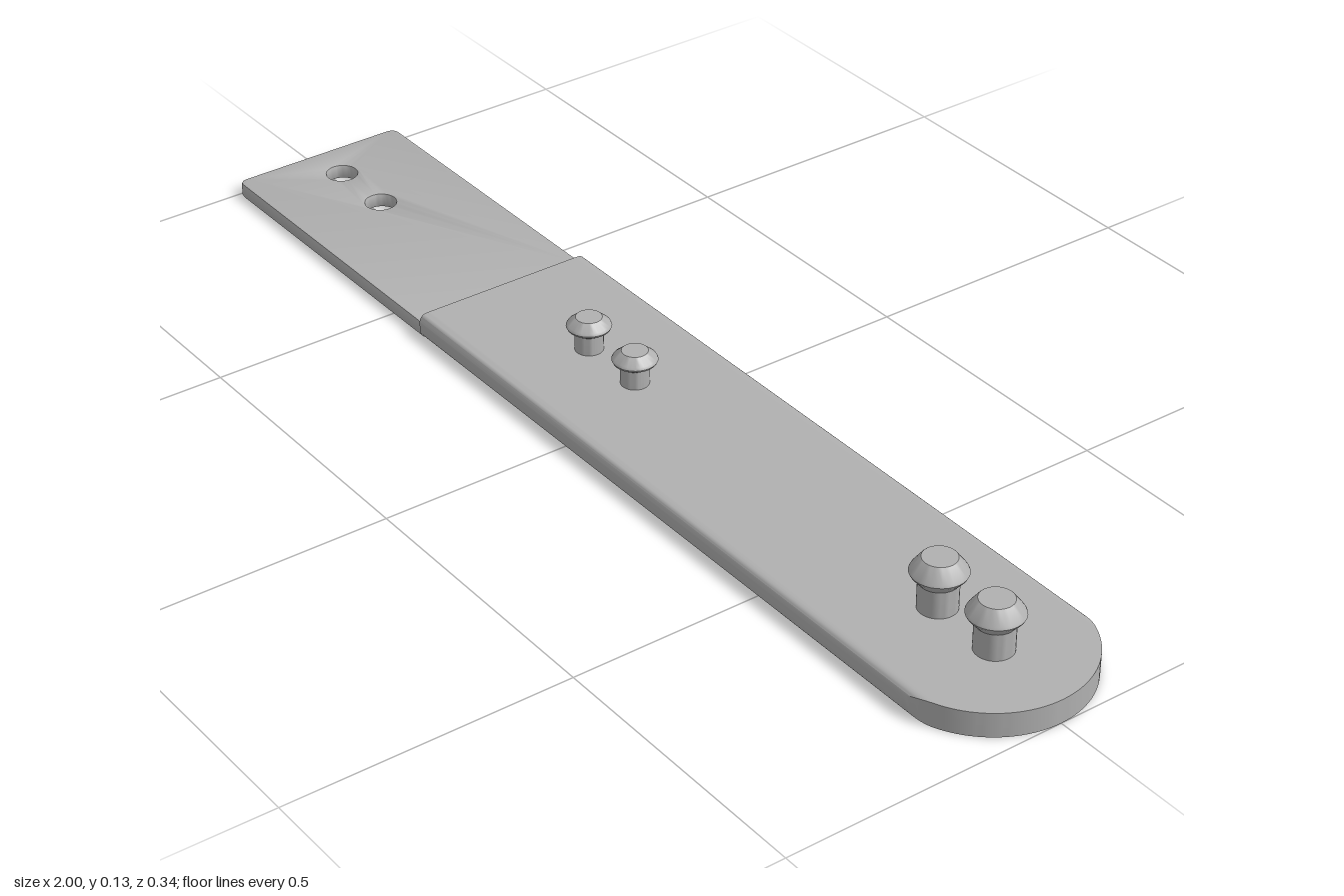
import * as THREE from 'three';
import { toCreasedNormals } from 'three/addons/utils/BufferGeometryUtils.js';

const HALF = 0.168, STEP_X = -0.41, THICK = 0.043, EDGE = 0.014;

// Thick bar: softened long edges, square step at one end, round nose at the other
function barGeometry() {
  const n = 56, pos = [];
  const column = (i) => {
    const z = HALF * Math.sin(-Math.PI / 2 + (Math.PI * i) / n);
    const d = Math.max(0, Math.abs(z) - (HALF - EDGE));
    const inset = EDGE - Math.sqrt(Math.max(0, EDGE * EDGE - d * d));
    const nose = 1 - HALF + Math.sqrt(Math.max(0, HALF * HALF - z * z));
    const lo = inset, hi = THICK - inset;
    return { st: [STEP_X, hi, z], sb: [STEP_X, lo, z], et: [nose, hi, z], eb: [nose, lo, z] };
  };
  const quad = (a, b, c, d) => pos.push(...a, ...b, ...c, ...a, ...c, ...d);
  for (let i = 0; i < n; i++) {
    const a = column(i), b = column(i + 1);
    quad(a.st, b.st, b.et, a.et); // top
    quad(a.sb, a.eb, b.eb, b.sb); // underside
    quad(a.eb, a.et, b.et, b.eb); // nose
    quad(a.sb, b.sb, b.st, a.st); // step face
  }
  const back = column(0), front = column(n);
  quad(back.sb, back.st, back.et, back.eb);
  quad(front.sb, front.eb, front.et, front.st);
  const g = new THREE.BufferGeometry();
  g.setAttribute('position', new THREE.Float32BufferAttribute(pos, 3));
  return toCreasedNormals(g, 0.6);
}

// Thin tongue with two through holes
function tongueGeometry() {
  const w = 0.164, r = 0.018, h = 0.027, b = 0.004, x0 = -1, x1 = STEP_X + 0.005;
  const s = new THREE.Shape();
  s.moveTo(x1, -w);
  s.lineTo(x1, w);
  s.lineTo(x0 + r, w);
  s.quadraticCurveTo(x0, w, x0, w - r);
  s.lineTo(x0, -w + r);
  s.quadraticCurveTo(x0, -w, x0 + r, -w);
  s.closePath();
  for (const x of [-0.917, -0.79]) {
    s.holes.push(new THREE.Path().absarc(x, 0, 0.027, 0, Math.PI * 2, true));
  }
  const g = new THREE.ExtrudeGeometry(s, {
    depth: h - 2 * b, bevelEnabled: true, bevelSize: b, bevelThickness: b,
    bevelOffset: 0 - b, bevelSegments: 2, curveSegments: 16,
  });
  g.translate(0, 0, b);
  g.rotateX(-Math.PI / 2);
  return toCreasedNormals(g, 0.6);
}

// Turned stud: plain post below a double-tapered head
function studGeometry(post, head, crown, neckY, rimY, topY) {
  const rim = 0.004;
  const profile = [
    [post, THICK - 0.005], [post, neckY], [head - 0.002, rimY - rim], [head, rimY],
    [head - 0.002, rimY + rim], [crown + 0.002, topY - 0.002], [crown, topY], [0, topY],
  ].map(([x, y]) => new THREE.Vector2(x, y));
  return toCreasedNormals(new THREE.LatheGeometry(profile, 32), 0.5);
}

export function createModel() {
  const model = new THREE.Group();
  model.name = 'studdedStrap';
  const grey = new THREE.MeshStandardMaterial({ color: 0xb0b0b0 });
  grey.name = 'grey';

  const add = (name, geometry, x = 0) => {
    const mesh = new THREE.Mesh(geometry, grey);
    mesh.name = name;
    mesh.position.x = x;
    model.add(mesh);
  };

  add('bar', barGeometry());
  add('tongue', tongueGeometry());

  const small = studGeometry(0.024, 0.038, 0.022, 0.076, 0.088, 0.104);
  const large = studGeometry(0.032, 0.046, 0.028, 0.09, 0.108, 0.133);
  [-0.16, -0.033].forEach((x, i) => add('smallStud' + (i + 1), small, x));
  [0.723, 0.85].forEach((x, i) => add('largeStud' + (i + 1), large, x));
  return model;
}
